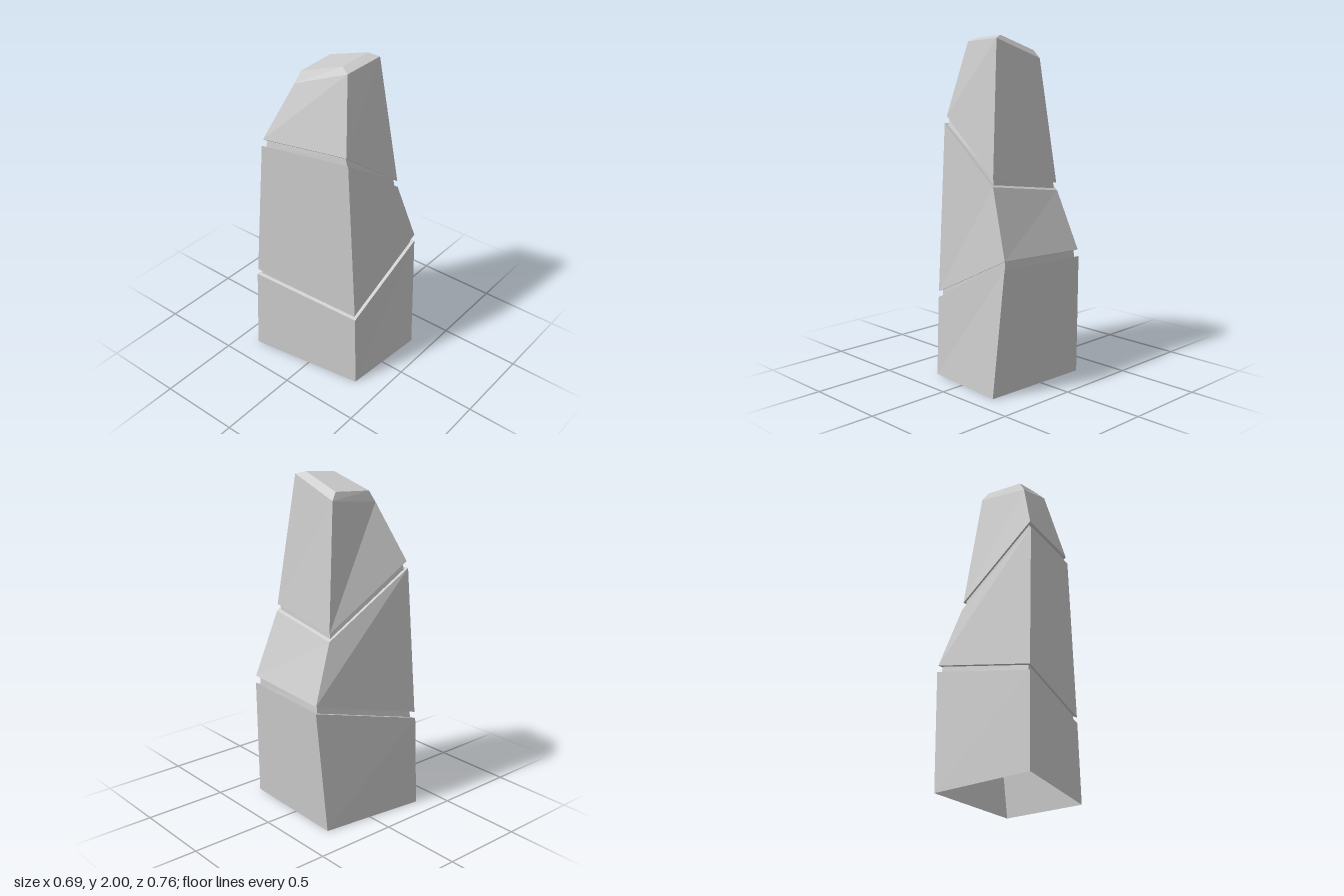
import * as THREE from 'three';

const material = new THREE.MeshStandardMaterial({
  color: 0xcccccc, flatShading: true, side: THREE.DoubleSide,
});

// Corner order of every ring: front -x, front +x, back +x, back -x
const base = [[-0.245, 0, 0.333], [0.28, 0, 0.378], [0.3, 0, -0.305], [-0.348, 0, -0.38]];
const lowerTop = [[-0.24, 0.475, 0.32], [0.325, 0.74, 0.33], [0.345, 0.725, -0.26], [-0.34, 0.55, -0.36]];
const middleBottom = [[-0.24, 0.51, 0.317], [0.324, 0.785, 0.328], [0.341, 0.765, -0.256], [-0.337, 0.588, -0.355]];
const middleTop = [[-0.238, 1.5, 0.259], [0.189, 1.175, 0.285], [0.21, 1.105, -0.217], [-0.314, 1.46, -0.294]];
const upperBottom = [[-0.235, 1.54, 0.245], [0.187, 1.215, 0.282], [0.206, 1.15, -0.213], [-0.306, 1.5, -0.289]];
const shoulder = [[-0.133, 1.965, 0.168], [0.118, 1.983, 0.187], [0.128, 1.87, -0.148], [-0.182, 1.835, -0.155]];
const summit = [[-0.108, 1.985, 0.115], [0.088, 2.0, 0.128], [0.093, 1.915, -0.133], [-0.145, 1.9, -0.14]];

// Shrink a ring toward its own centre
function inset(ring, s) {
  const c = [0, 1, 2].map((k) => ring.reduce((sum, p) => sum + p[k], 0) / ring.length);
  return ring.map((p) => p.map((v, k) => c[k] + (v - c[k]) * s));
}

// Skin a stack of four-cornered rings, optionally closing the last one
function loft(name, rings, closeTop = false) {
  const index = [];
  for (let r = 0; r < rings.length - 1; r++) {
    for (let i = 0; i < 4; i++) {
      const j = (i + 1) % 4;
      const a = r * 4 + i, b = r * 4 + j;
      index.push(a, b, b + 4, a, b + 4, a + 4);
    }
  }
  if (closeTop) {
    const t = (rings.length - 1) * 4;
    index.push(t, t + 1, t + 2, t, t + 2, t + 3);
  }
  const indexed = new THREE.BufferGeometry();
  indexed.setAttribute('position', new THREE.Float32BufferAttribute(rings.flat(2), 3));
  indexed.setIndex(index);
  const geometry = indexed.toNonIndexed();
  geometry.computeVertexNormals();
  const mesh = new THREE.Mesh(geometry, material);
  mesh.name = name;
  return mesh;
}

// Recessed band between two blocks
function groove(name, below, above) {
  return loft(name, [below, inset(below, 0.94), inset(above, 0.94), above]);
}

export function createModel() {
  const group = new THREE.Group();
  group.name = 'stonePillar';
  group.add(
    loft('lowerBlock', [base, lowerTop]), // open underneath
    groove('lowerGroove', lowerTop, middleBottom),
    loft('middleBlock', [middleBottom, middleTop]),
    groove('upperGroove', middleTop, upperBottom),
    loft('upperBlock', [upperBottom, shoulder]),
    loft('bevelledCap', [shoulder, summit], true),
  );
  return group;
}
